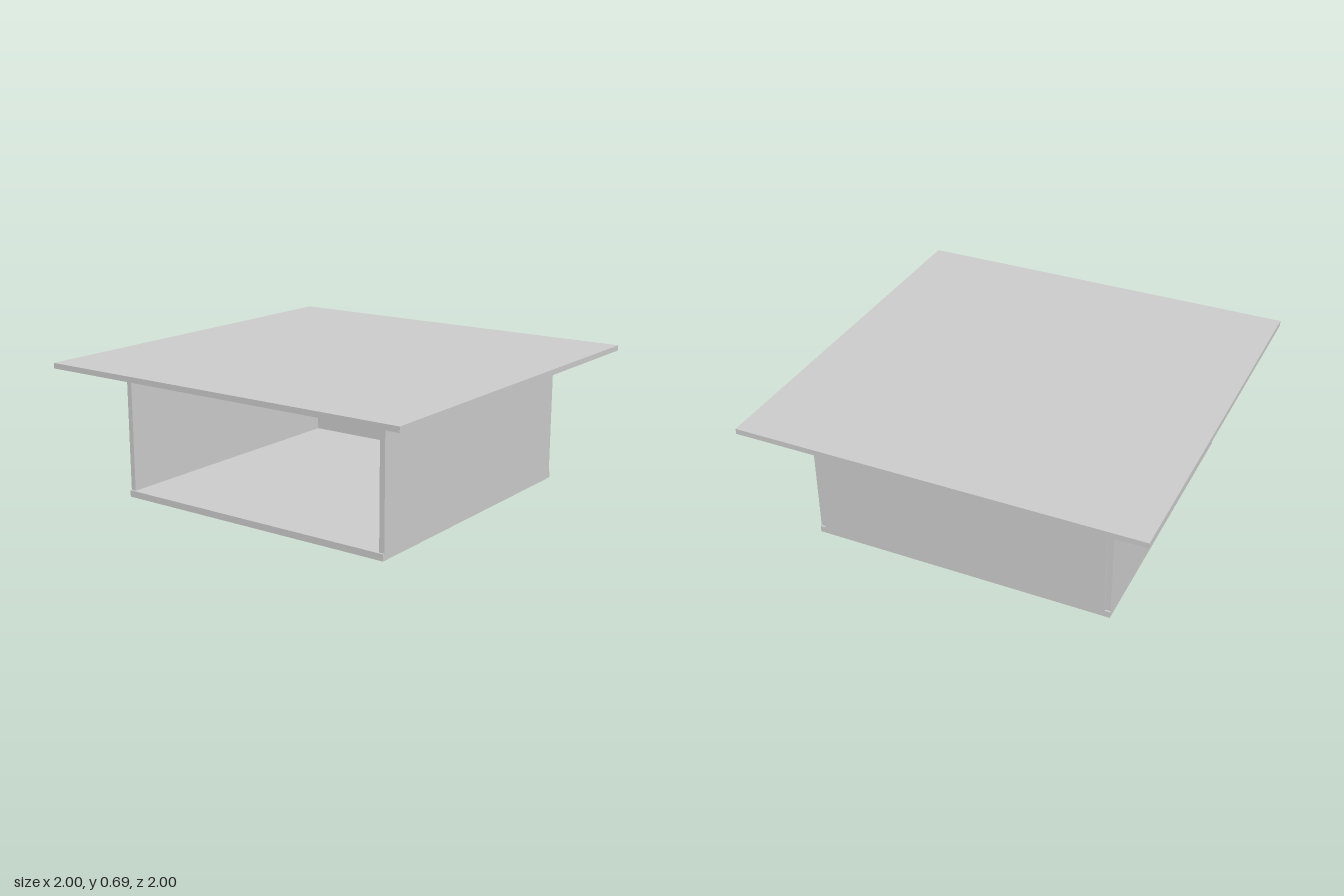
import * as THREE from 'three';

export function createModel() {
  const group = new THREE.Group();
  const material = new THREE.MeshStandardMaterial({ color: 0xcccccc, flatShading: true });

  // Box panel given by its lower and upper corners
  const panel = (name, [x0, y0, z0], [x1, y1, z1]) => {
    const mesh = new THREE.Mesh(new THREE.BoxGeometry(x1 - x0, y1 - y0, z1 - z0), material);
    mesh.position.set((x0 + x1) / 2, (y0 + y1) / 2, (z0 + z1) / 2);
    mesh.name = name;
    group.add(mesh);
  };

  const half = 0.762; // half width of the base
  const inner = 0.735; // inner face of the walls
  const wallZ = 0.753; // side walls stop just short of the base edges
  const floorY = 0.033;
  const topY = 0.663;

  panel('base', [-half, 0, -half], [half, floorY, half]);
  panel('tableTop', [-1, topY, -1], [1, 0.69, 1]);

  // Side walls, with the back panel set between them and the front left open
  panel('leftWall', [inner, floorY, -wallZ], [half, topY, wallZ]);
  panel('rightWall', [-half, floorY, -wallZ], [-inner, topY, wallZ]);
  panel('backPanel', [-inner, floorY, -half], [inner, topY, -inner]);

  return group;
}
